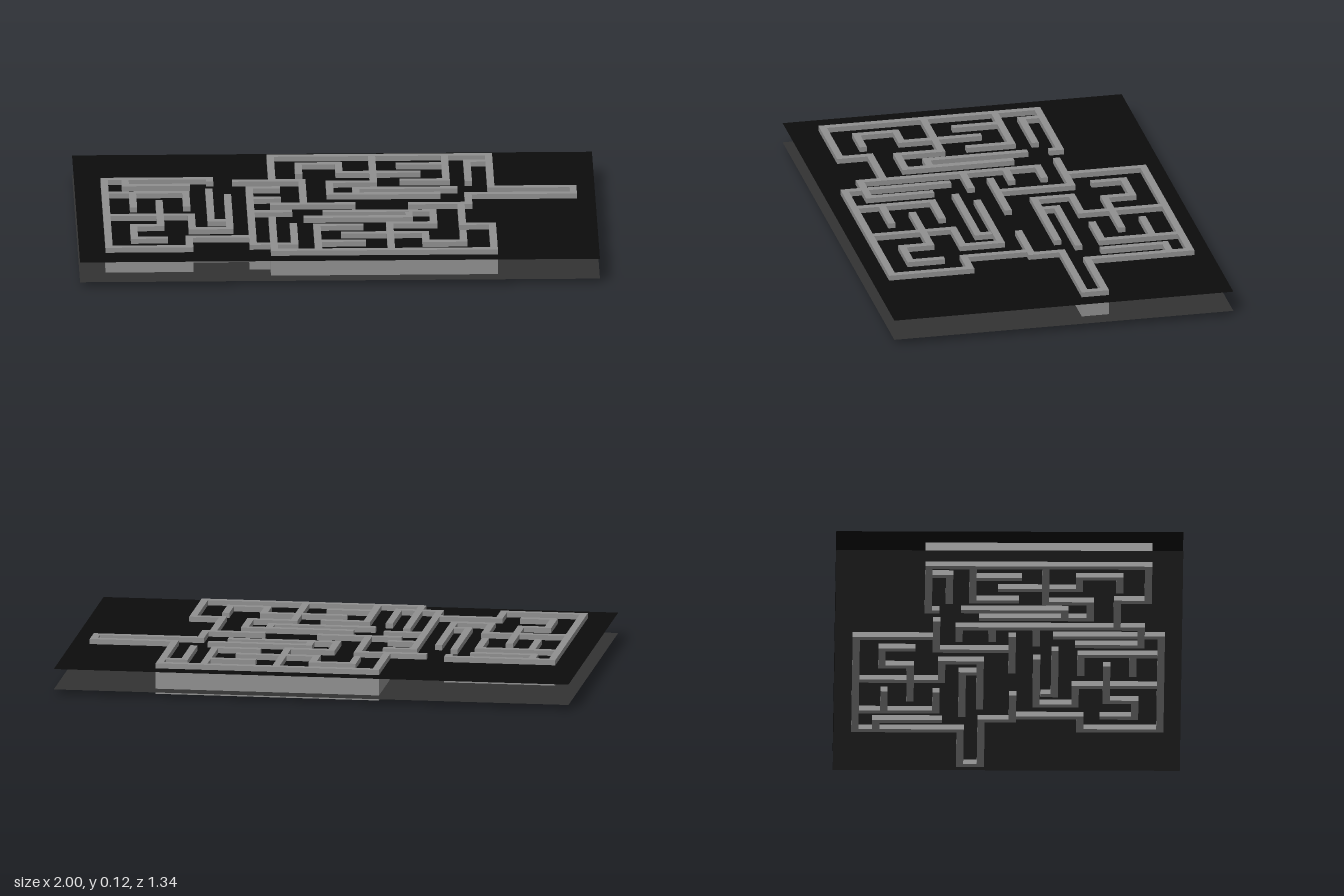
import * as THREE from 'three';

const WALL = 0.028, HEIGHT = 0.12;

// Wall centre lines as x, z corner points
const outline = [
  [[-0.24, -0.28], [-0.24, -0.585], [0.6, -0.585], [0.6, -0.18], [0.915, -0.18], [0.915, -0.1],
    [0.51, -0.1], [0.51, 0.02], [0.29, 0.02]],
  [[0.48, 0.02], [0.48, 0.28], [0.595, 0.28], [0.595, 0.588], [-0.25, 0.588], [-0.25, 0.185]],
  [[-0.48, -0.28], [-0.48, -0.31], [-0.885, -0.31], [-0.885, 0.535], [-0.575, 0.535],
    [-0.575, 0.417], [-0.33, 0.417]],
];
const leftMaze = [
  [[-0.805, -0.31], [-0.805, -0.23], [-0.57, -0.23]],
  [[-0.885, -0.14], [-0.575, -0.14], [-0.575, 0.025]],
  [[-0.78, -0.14], [-0.78, 0.035]],
  [[-0.68, -0.03], [-0.68, 0.27], [-0.785, 0.27], [-0.785, 0.425], [-0.67, 0.425]],
  [[-0.885, 0.14], [-0.56, 0.14], [-0.56, 0.313], [-0.415, 0.313], [-0.415, -0.1]],
  [[-0.485, -0.17], [-0.485, 0.215], [-0.415, 0.215]],
];
const centreMaze = [
  [[-0.225, -0.19], [-0.33, -0.19], [-0.33, 0.51], [-0.17, 0.51], [-0.17, 0.27]],
  [[-0.33, -0.062], [-0.225, -0.062]],
  [[-0.33, 0.107], [-0.185, 0.107]],
  [[-0.38, -0.277], [-0.125, -0.277], [-0.125, 0.015]],
  [[-0.24, 0.015], [0.06, 0.015]],
];
const backMaze = [
  [[-0.135, -0.37], [-0.135, -0.485], [0.02, -0.485], [0.02, -0.375], [0.32, -0.375]],
  [[0.15, -0.585], [0.15, -0.255], [-0.02, -0.255], [-0.02, -0.107], [0.39, -0.107]],
  [[0.08, -0.107], [0.08, -0.175], [0.457, -0.175]],
  [[0.43, -0.585], [0.43, -0.275], [0.265, -0.275]],
  [[0.255, -0.475], [0.43, -0.475]],
  [[0.6, -0.505], [0.515, -0.505], [0.515, -0.265]],
];
const frontMaze = [
  [[-0.04, 0.11], [0.37, 0.11], [0.37, 0.26], [0.2, 0.26], [0.2, 0.588]],
  [[-0.115, 0.18], [0.277, 0.18], [0.277, 0.14]],
  [[0.085, 0.28], [-0.08, 0.28], [-0.08, 0.588]],
  [[-0.08, 0.48], [0.09, 0.48]],
  [[0.025, 0.38], [0.335, 0.38], [0.335, 0.49], [0.48, 0.49], [0.48, 0.37]],
];

// One box per straight run, overlapping by half a wall at the corners
function buildWalls(name, paths, material) {
  const group = new THREE.Group();
  group.name = name;
  for (const path of paths) {
    for (let i = 1; i < path.length; i++) {
      const [x0, z0] = path[i - 1], [x1, z1] = path[i];
      const geometry = new THREE.BoxGeometry(Math.abs(x1 - x0) + WALL, HEIGHT, Math.abs(z1 - z0) + WALL);
      const wall = new THREE.Mesh(geometry, material);
      wall.name = 'wall';
      wall.position.set((x0 + x1) / 2, HEIGHT / 2, (z0 + z1) / 2);
      group.add(wall);
    }
  }
  return group;
}

// Paper-thin horizontal sheet
function buildSheet(name, y, material) {
  const sheet = new THREE.Mesh(new THREE.PlaneGeometry(2, 1.335), material);
  sheet.name = name;
  sheet.rotation.x = -Math.PI / 2;
  sheet.position.y = y;
  return sheet;
}

export function createModel() {
  const grey = new THREE.MeshStandardMaterial({ color: 0x909090 });
  grey.name = 'wall grey';
  const black = new THREE.MeshStandardMaterial({ color: 0x0c0c0c, side: THREE.DoubleSide });
  black.name = 'upper sheet black';
  const charcoal = new THREE.MeshStandardMaterial({ color: 0x333333, side: THREE.DoubleSide });
  charcoal.name = 'lower sheet charcoal';

  const model = new THREE.Group();
  model.name = 'maze';
  model.add(
    buildSheet('lowerSheet', 0.02, charcoal),
    buildSheet('upperSheet', 0.1, black),
    buildWalls('outerWalls', outline, grey),
    buildWalls('leftMaze', leftMaze, grey),
    buildWalls('centreMaze', centreMaze, grey),
    buildWalls('backMaze', backMaze, grey),
    buildWalls('frontMaze', frontMaze, grey),
  );
  return model;
}
